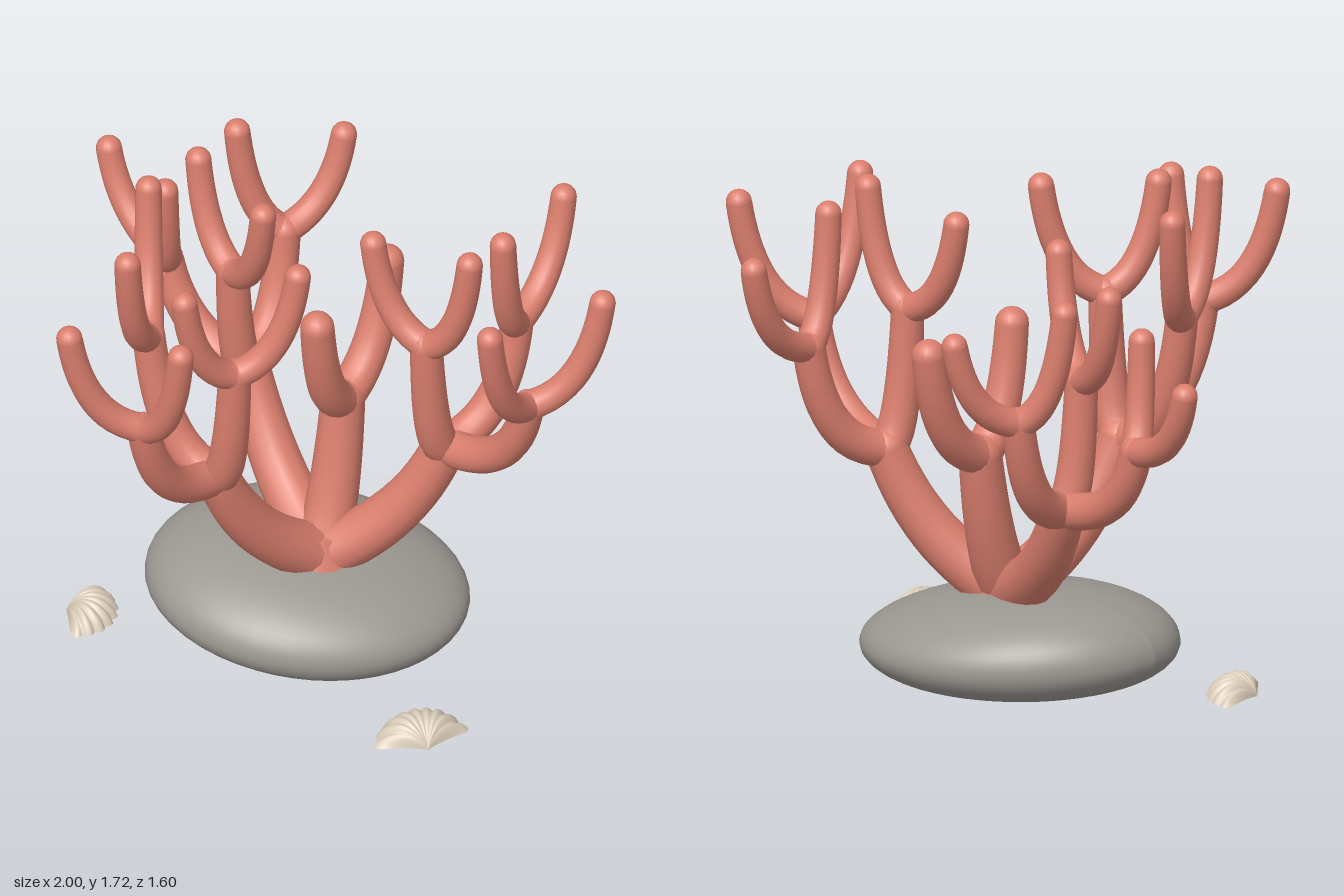
import * as THREE from 'three';

const coral = new THREE.MeshStandardMaterial({ color: 0xdb7f6e });
coral.name = 'coral pink';
const stone = new THREE.MeshStandardMaterial({ color: 0x9b9791 });
stone.name = 'stone grey';
const shellMat = new THREE.MeshStandardMaterial({ color: 0xd9cbb8, side: THREE.DoubleSide });
shellMat.name = 'shell cream';

// Tapered branch: sets off sideways, then bends upward
function branch(group, name, from, to, r0, r1, side, rise) {
  const a = new THREE.Vector3(...from), b = new THREE.Vector3(...to);
  const c = new THREE.Vector3(
    THREE.MathUtils.lerp(a.x, b.x, side),
    THREE.MathUtils.lerp(a.y, b.y, rise),
    THREE.MathUtils.lerp(a.z, b.z, side));
  const curve = new THREE.QuadraticBezierCurve3(a, c, b);
  const seg = 14, sides = 16;
  const geo = new THREE.TubeGeometry(curve, seg, 1, sides, false);
  const p = geo.attributes.position, v = new THREE.Vector3();
  for (let i = 0; i <= seg; i++) {
    const mid = curve.getPointAt(i / seg), r = THREE.MathUtils.lerp(r0, r1, i / seg);
    for (let j = 0; j <= sides; j++) {
      const k = i * (sides + 1) + j;
      v.fromBufferAttribute(p, k).sub(mid).multiplyScalar(r).add(mid);
      p.setXYZ(k, v.x, v.y, v.z);
    }
  }
  const tube = new THREE.Mesh(geo, coral);
  tube.name = name;
  // Rounded end that also fills the joint
  const cap = new THREE.Mesh(new THREE.SphereGeometry(r1, 16, 12), coral);
  cap.name = name + 'End';
  cap.position.copy(b);
  group.add(tube, cap);
}

// Each limb splits into forks, and each fork into two tips
const limbs = [
  { name: 'frontLimb', end: [-0.2, 0.78, 0.29], forks: [
    { at: [-0.3, 1.17, 0.63], tips: [[-0.51, 1.55, 0.75], [-0.14, 1.55, 0.69]] },
    { at: [-0.45, 1.25, 0.27], tips: [[-0.555, 1.665, 0.05], [-0.44, 1.67, 0.455]] },
    { at: [-0.11, 1.25, 0.34], tips: [[0.06, 1.62, 0.22], [-0.22, 1.605, 0.49]] },
  ] },
  { name: 'rightLimb', end: [-0.36, 0.75, -0.3], forks: [
    { at: [-0.69, 1.04, -0.38], tips: [[-0.955, 1.32, -0.5], [-0.655, 1.385, -0.29]] },
    { at: [-0.36, 1.13, -0.57], tips: [[-0.505, 1.52, -0.52], [-0.235, 1.43, -0.76]] },
    { at: [-0.39, 1.18, -0.24], tips: [[-0.555, 1.52, -0.33], [-0.22, 1.55, -0.11]] },
  ] },
  { name: 'leftLimb', end: [0.4, 0.77, -0.18], forks: [
    { at: [0.75, 1.12, -0.07], tips: [[0.955, 1.515, -0.2], [0.725, 1.545, 0.17]] },
    { at: [0.55, 1.16, -0.41], tips: [[0.59, 1.5, -0.68], [0.565, 1.575, -0.27]] },
    { at: [0.375, 1.23, -0.09], tips: [[0.175, 1.565, -0.11], [0.535, 1.615, -0.08]] },
  ] },
];

function makeCoral() {
  const g = new THREE.Group();
  g.name = 'coral';
  const root = [0.02, 0.31, -0.04];
  for (const limb of limbs) {
    branch(g, limb.name, root, limb.end, 0.095, 0.072, 0.69, 0.28);
    for (const fork of limb.forks) {
      branch(g, limb.name + 'Fork', limb.end, fork.at, 0.064, 0.054, 0.82, 0.06);
      for (const tip of fork.tips) branch(g, limb.name + 'Tip', fork.at, tip, 0.05, 0.043, 0.8, 0.12);
    }
  }
  // Short limb at the back with only two tips
  const back = [0.025, 0.83, -0.2];
  branch(g, 'backLimb', root, back, 0.09, 0.072, 0.69, 0.28);
  branch(g, 'backLimbTip', back, [0.07, 1.235, -0.44], 0.066, 0.056, 0.8, 0.12);
  branch(g, 'backLimbTip', back, [0.015, 1.23, -0.025], 0.066, 0.056, 0.8, 0.12);
  // Flared foot gripping the rock
  const foot = new THREE.Mesh(new THREE.CylinderGeometry(0.085, 0.13, 0.11, 20), coral);
  foot.name = 'foot';
  foot.position.set(0.01, 0.35, -0.04);
  g.add(foot);
  return g;
}

// Pebble: rounded and flat-bottomed, thicker on one side, slightly skewed in plan
function makeRock() {
  const geo = new THREE.SphereGeometry(1, 48, 32);
  const p = geo.attributes.position;
  for (let i = 0; i < p.count; i++) {
    const v = p.getY(i);
    const s = Math.max(Math.hypot(p.getX(i), p.getZ(i)), 1e-6);
    const full = Math.pow(s, v > 0 ? -0.15 : -0.45);
    const u = p.getX(i) * full, w = p.getZ(i) * full;
    const plan = 1 - 0.12 * u * w;
    const h = v > 0 ? 0.185 - 0.025 * u : 0.14;
    p.setXYZ(i,
      -0.035 + 0.522 * u * plan,
      0.15 - 0.035 * u - 0.015 * w + v * h,
      -0.055 + 0.427 * w * plan);
  }
  geo.computeVertexNormals();
  const rock = new THREE.Mesh(geo, stone);
  rock.name = 'rock';
  return rock;
}

// Ribbed fan shell: apex at the origin, opening toward +x
function makeShell(name, radius, height, x, z, turn) {
  const ribs = 9, half = 1.25;
  const geo = new THREE.PlaneGeometry(2, 1, ribs * 8, 14);
  const p = geo.attributes.position;
  for (let i = 0; i < p.count; i++) {
    const a = p.getX(i), t = p.getY(i) + 0.5;
    const rib = Math.abs(Math.sin((a + 1) / 2 * ribs * Math.PI));
    const r = radius * t * (0.92 + 0.08 * rib) * (1 - 0.12 * a * a);
    const arch = Math.pow(Math.max(Math.sin(Math.PI * t), 0), 0.7);
    const y = 0.01 + arch * (height * (1 - 0.9 * a ** 4) + 0.007 * rib);
    p.setXYZ(i, r * Math.cos(a * half), y, r * Math.sin(a * half));
  }
  geo.computeVertexNormals();
  const shell = new THREE.Mesh(geo, shellMat);
  shell.name = name;
  shell.position.set(x, 0, z);
  shell.rotation.y = turn;
  return shell;
}

export function createModel() {
  const model = new THREE.Group();
  model.name = 'coralOnRock';
  model.add(
    makeRock(),
    makeCoral(),
    makeShell('leftShell', 0.195, 0.072, 0.62, 0.42, 2.32),
    makeShell('rightShell', 0.17, 0.06, -0.76, 0.24, 0.22));
  return model;
}
